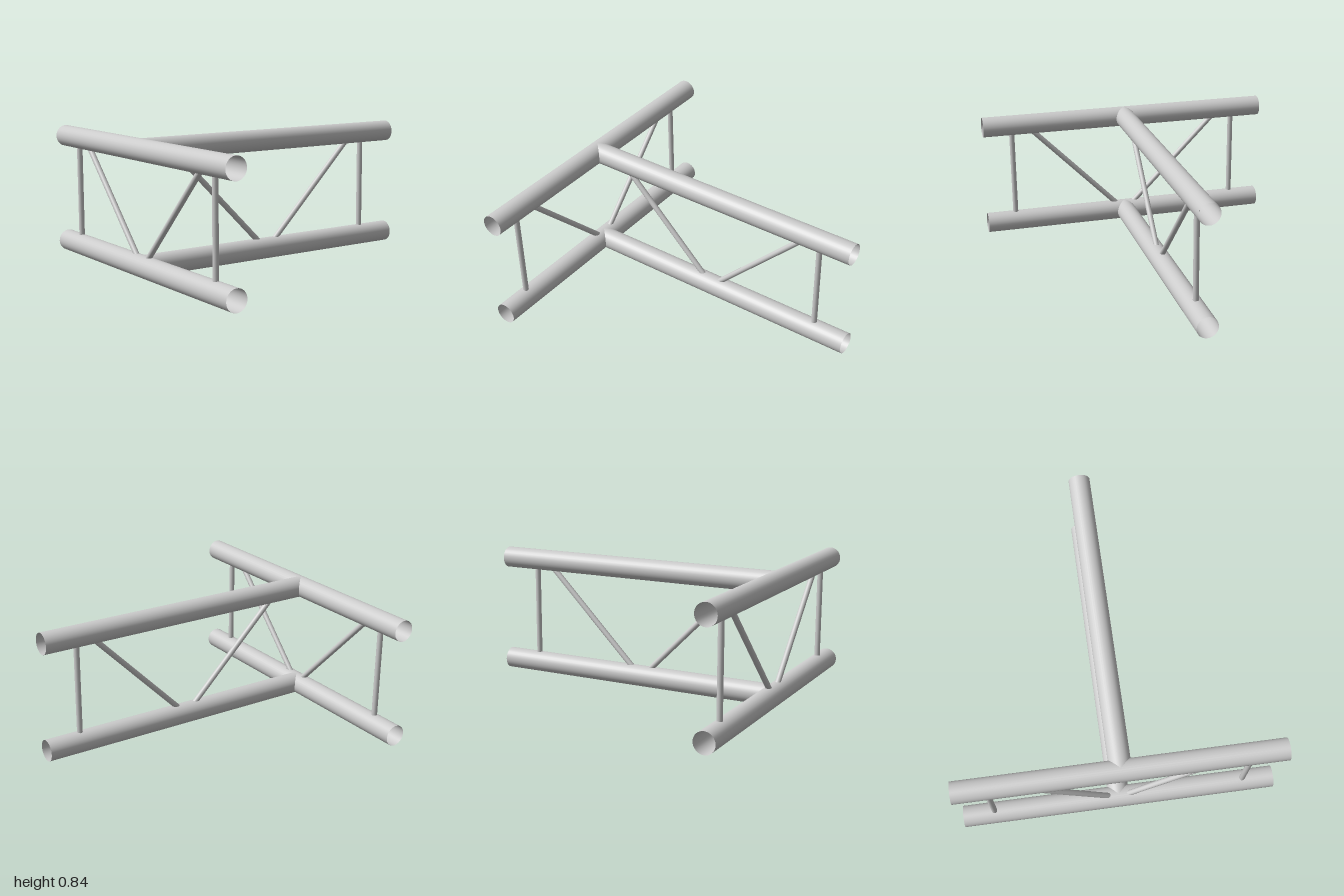
import * as THREE from 'three';

const R = 0.068, r = 0.018;          // chord and brace radii
const LOW = 0.068, HIGH = 0.772;     // chord centre heights
const FRONT = 0.932;                 // z of the cross frame

export function createModel() {
  const model = new THREE.Group();
  const metal = new THREE.MeshStandardMaterial({ color: 0xcccccc, side: THREE.DoubleSide });

  // open-ended tube between two points
  function tube(name, a, b, radius, sides) {
    const start = new THREE.Vector3(...a), end = new THREE.Vector3(...b);
    const dir = end.clone().sub(start);
    const geometry = new THREE.CylinderGeometry(radius, radius, dir.length(), sides, 1, true);
    const mesh = new THREE.Mesh(geometry, metal);
    mesh.name = name;
    mesh.position.copy(start).add(end).multiplyScalar(0.5);
    mesh.quaternion.setFromUnitVectors(new THREE.Vector3(0, 1, 0), dir.normalize());
    model.add(mesh);
  }

  // upper and lower chords of the T
  for (const [level, y] of [['lower', LOW], ['upper', HIGH]]) {
    tube(level + 'CrossChord', [-1, y, FRONT], [1, y, FRONT], R, 32);
    tube(level + 'StemChord', [0, y, FRONT], [0, y, -1], R, 32);
  }

  // cross frame: a post and a diagonal on each side
  for (const [side, s] of [['left', 1], ['right', -1]]) {
    tube(side + 'Post', [s * 0.8, 0.125, FRONT], [s * 0.8, 0.72, FRONT], r, 16);
    tube(side + 'Diagonal', [s * 0.017, LOW + 0.005, FRONT], [s * 0.706, HIGH, FRONT], r, 16);
  }

  // stem frame: two diagonals in a V and the rear post
  for (const [end, s] of [['front', 1], ['rear', -1]])
    tube(end + 'StemDiagonal', [0, LOW + 0.005, 0.015 + s * 0.017], [0, HIGH, 0.015 + s * 0.71], r, 16);
  tube('rearPost', [0, 0.125, -0.77], [0, 0.72, -0.77], r, 16);

  return model;
}
